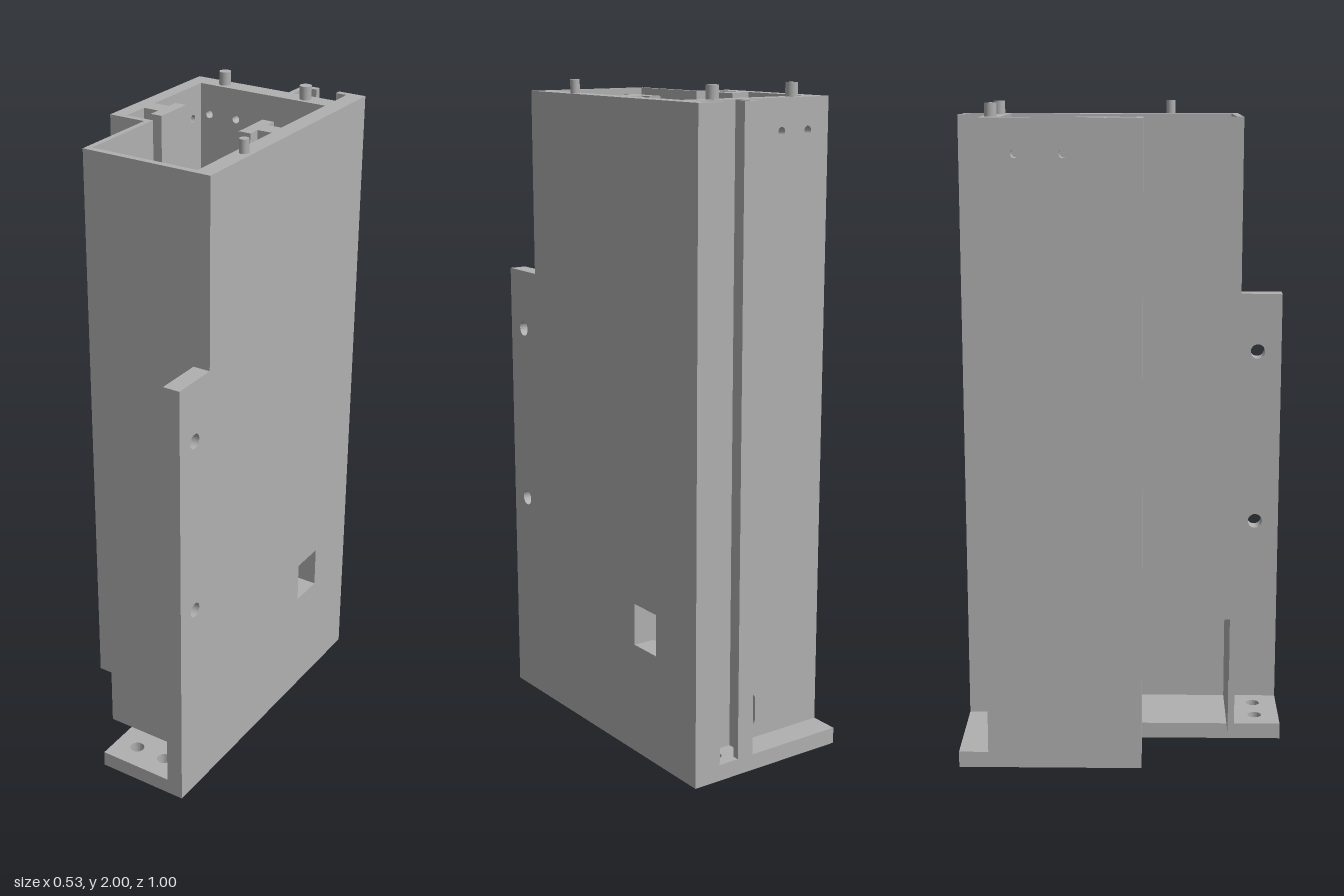
import * as THREE from 'three';

const FLOOR = 0.05, TOP = 1.96;

export function createModel() {
  const group = new THREE.Group();
  const grey = new THREE.MeshStandardMaterial({ color: 0xb0b0b0 });
  grey.name = 'lightGrey';

  const add = (name, geometry) => {
    const mesh = new THREE.Mesh(geometry, grey);
    mesh.name = name;
    group.add(mesh);
    return mesh;
  };
  const box = (name, x0, x1, y0, y1, z0, z1) =>
    add(name, new THREE.BoxGeometry(x1 - x0, y1 - y0, z1 - z0)
      .translate((x0 + x1) / 2, (y0 + y1) / 2, (z0 + z1) / 2));

  const polygon = (points) => new THREE.Shape(points.map(([u, v]) => new THREE.Vector2(u, v)));
  const rect = (u0, u1, v0, v1) => [[u0, v0], [u1, v0], [u1, v1], [u0, v1]];
  const circle = (u, v, r) => new THREE.Path().absarc(u, v, r, 0, Math.PI * 2, true);
  // Upright slot with round ends
  const slot = (u, v0, v1, r) => {
    const path = new THREE.Path();
    path.absarc(u, v1 - r, r, 0, Math.PI, false);
    path.absarc(u, v0 + r, r, Math.PI, Math.PI * 2, false);
    path.closePath();
    return path;
  };
  const extrude = (points, holes, depth) => {
    const shape = polygon(points);
    shape.holes.push(...holes);
    return new THREE.ExtrudeGeometry(shape, { depth, bevelEnabled: false, curveSegments: 12 });
  };
  // Panels facing x (u = -z), y (v = -z) and z
  const panelX = (name, points, holes, x0, x1) =>
    add(name, extrude(points, holes, x1 - x0).rotateY(Math.PI / 2).translate(x0, 0, 0));
  const panelY = (name, points, holes, y0, y1) =>
    add(name, extrude(points, holes, y1 - y0).rotateX(-Math.PI / 2).translate(0, y0, 0));
  const panelZ = (name, points, holes, z0, z1) =>
    add(name, extrude(points, holes, z1 - z0).translate(0, 0, z0));

  // Base plate with screw holes in the foot and a cable slot at the back
  panelY('basePlate',
    [[-0.265, 0.5], [-0.265, -0.06], [-0.03, -0.06], [-0.03, -0.5], [0.21, -0.5], [0.21, 0.5]],
    [circle(0.043, -0.423, 0.022), circle(0.145, -0.423, 0.022), slot(0.145, 0.28, 0.46, 0.016)],
    0, FLOOR);

  // Tall mounting wall with flange, flange holes and a square window
  const windowHole = () => polygon(rect(0.19, 0.303, 0.345, 0.475));
  panelX('mountingWall',
    [[-0.5, 0], [0.5, 0], [0.5, TOP], [-0.35, TOP], [-0.35, 1.4], [-0.5, 1.4]],
    [circle(-0.425, 1.215, 0.023), circle(-0.425, 0.655, 0.023), windowHole()],
    0.21, 0.263);

  // Opposite wall and back wall with small screw holes
  panelX('sideWall', rect(-0.06, 0.41, FLOOR, TOP),
    [circle(0.304, 1.86, 0.012), circle(0.167, 1.86, 0.012)], -0.265, -0.22);
  panelZ('backWall', rect(-0.22, 0.21, FLOOR, TOP),
    [circle(-0.19, 1.867, 0.012), circle(-0.095, 1.867, 0.012), slot(-0.005, 0.085, 0.195, 0.022)],
    -0.41, -0.35);

  // Stepped front: shoulder, thin side skin and notched front skin
  box('frontShoulder', -0.22, -0.13, FLOOR, TOP, 0.04, 0.06);
  box('thinSideSkin', -0.147, -0.13, 0.44, TOP, 0.06, 0.33);
  panelZ('frontSkin',
    [[-0.105, FLOOR], [0.21, FLOOR], [0.21, TOP], [-0.147, TOP], [-0.147, 0.235], [-0.105, 0.235]],
    [], 0.33, 0.35);

  // Open T-slot rail on the back
  panelY('railRib',
    [[0.053, 0.41], [0.07, 0.41], [0.07, 0.48], [0.108, 0.48], [0.108, 0.5], [0.053, 0.5]],
    [], FLOOR, TOP);
  box('railLip', 0.175, 0.21, FLOOR, TOP, -0.5, -0.48);

  // Pair of T-shaped guide ribs inside
  for (const [name, wall, neck, head] of [
    ['guideRibRight', -0.22, -0.17, -0.133], ['guideRibLeft', 0.21, 0.165, 0.127]]) {
    panelY(name, [
      [wall, 0.1], [neck, 0.1], [neck, 0.135], [head, 0.135],
      [head, 0.007], [neck, 0.007], [neck, 0.045], [wall, 0.045],
    ], [], FLOOR, TOP);
  }

  // Inner holder plates beside the window
  box('holderPlateInner', 0.083, 0.1, FLOOR, 0.55, -0.347, -0.183);
  panelX('holderPlateOuter', rect(0.183, 0.347, FLOOR, 0.55), [windowHole()], 0.194, 0.21);

  // Round boss lying on the floor
  add('floorBoss', new THREE.CylinderGeometry(0.072, 0.072, 0.093, 32)
    .rotateX(Math.PI / 2).translate(-0.004, 0.122, -0.2535));

  // Locating pegs on the top rim
  for (const [x, z, r] of [[-0.153, -0.38, 0.018], [0.127, -0.38, 0.018], [0.237, 0.143, 0.014]]) {
    add('locatingPeg', new THREE.CylinderGeometry(r, r, 0.05, 20).translate(x, 1.975, z));
  }

  return group;
}
